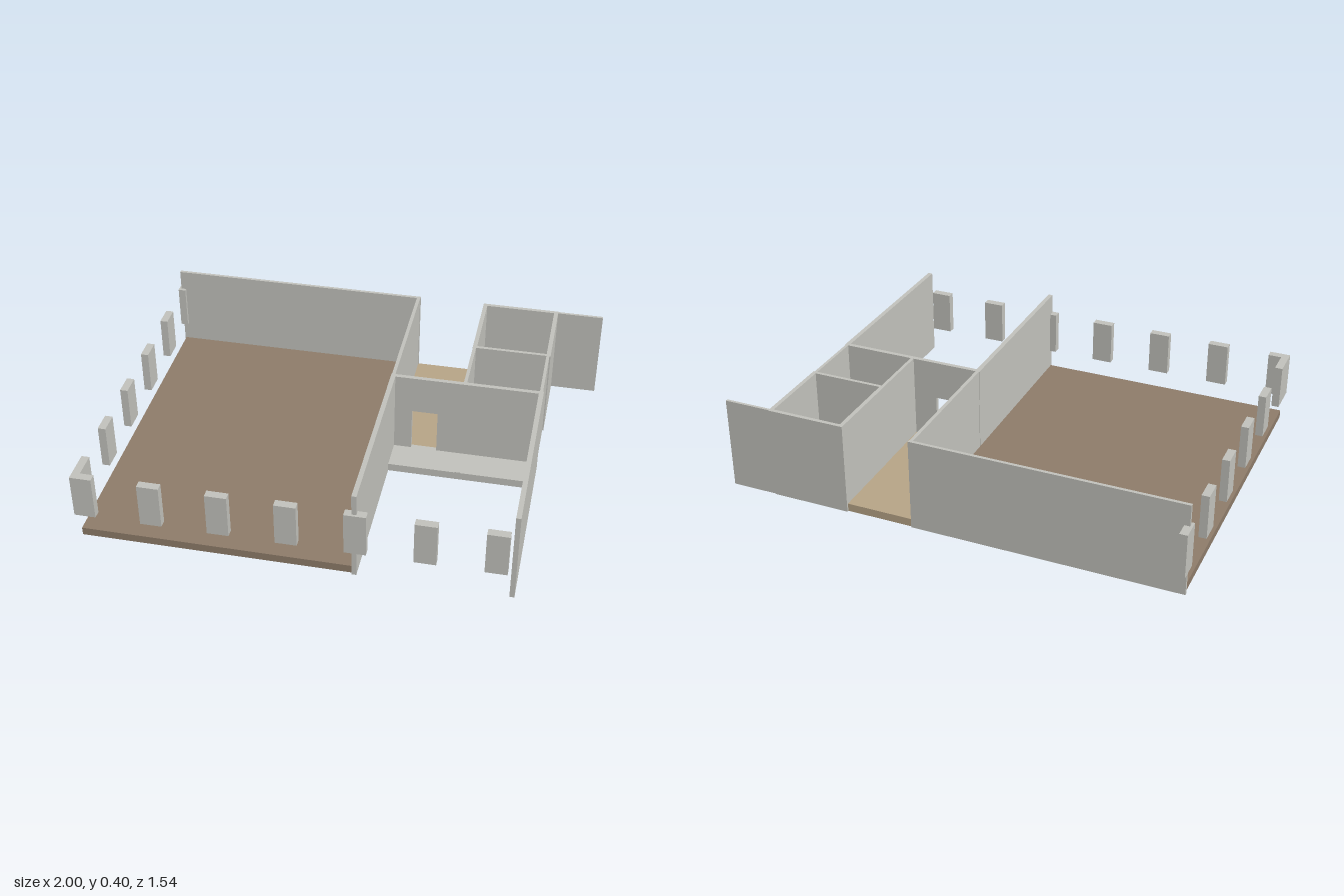
import * as THREE from 'three';

export function createModel() {
  const model = new THREE.Group();
  model.name = 'floorPlan';

  const material = (name, color) => {
    const m = new THREE.MeshStandardMaterial({ color });
    m.name = name;
    return m;
  };
  const concrete = material('concreteGrey', 0xc2c2bc);
  const brown = material('floorBrown', 0x8e7c6a);
  const tan = material('floorTan', 0xb7a587);

  // Box given by its limits on each axis
  const block = (name, mat, [x0, x1], [y0, y1], [z0, z1], parent = model) => {
    const mesh = new THREE.Mesh(new THREE.BoxGeometry(x1 - x0, y1 - y0, z1 - z0), mat);
    mesh.position.set((x0 + x1) / 2, (y0 + y1) / 2, (z0 + z1) / 2);
    mesh.name = name;
    parent.add(mesh);
  };
  const group = (name) => {
    const g = new THREE.Group();
    g.name = name;
    model.add(g);
    return g;
  };

  const H = 0.403;              // wall height
  const full = [0, H];
  const slab = [0, 0.035];

  // Floors
  block('hallFloor', brown, [-0.985, 0.146], slab, [-0.698, 0.75]);
  block('corridorFloor', tan, [0.163, 0.458], slab, [-0.706, -0.076]);
  block('roomFloor', concrete, [0.475, 0.78], slab, [-0.697, -0.36]);
  block('porchFloor', concrete, [0.165, 0.777], slab, [-0.057, 0.08]);
  block('porchStop', concrete, [0.458, 0.482], [0.033, 0.042], [0.076, 0.086]);

  // Long walls
  const walls = group('walls');
  block('backWall', concrete, [-0.99, 0.165], full, [-0.712, -0.698], walls);
  block('hallRearWall', concrete, [0.148, 0.163], full, [-0.698, -0.076], walls);
  block('hallFrontWall', concrete, [0.146, 0.166], full, [-0.076, 0.76], walls);
  block('sideFrontWall', concrete, [0.777, 0.797], full, [-0.076, 0.76], walls);
  block('wingWall', concrete, [0.797, 1], full, [-0.711, -0.699], walls);

  // Cross wall with a doorway
  const shape = new THREE.Shape();
  shape.moveTo(0.166, 0).lineTo(0.777, 0).lineTo(0.777, H).lineTo(0.166, H).closePath();
  const door = new THREE.Path();
  door.moveTo(0.242, 0.035).lineTo(0.242, 0.232).lineTo(0.354, 0.232).lineTo(0.354, 0.035).closePath();
  shape.holes.push(door);
  const crossWall = new THREE.Mesh(
    new THREE.ExtrudeGeometry(shape, { depth: 0.019, bevelEnabled: false }), concrete);
  crossWall.position.z = -0.076;
  crossWall.name = 'crossWall';
  walls.add(crossWall);

  // Open shaft between the room and the cross wall
  block('shaftLeftWall', concrete, [0.458, 0.472], full, [-0.345, -0.076], walls);
  block('shaftRightWall', concrete, [0.78, 0.793], full, [-0.345, -0.076], walls);

  // Enclosed room at the back
  const room = group('room');
  block('roomLeftWall', concrete, [0.457, 0.475], full, [-0.714, -0.345], room);
  block('roomRightWall', concrete, [0.78, 0.798], full, [-0.714, -0.345], room);
  block('roomBackWall', concrete, [0.475, 0.78], full, [-0.714, -0.697], room);
  block('roomFrontWall', concrete, [0.475, 0.78], full, [-0.36, -0.345], room);

  // Raised window piers along the front and the right-hand side
  const piers = group('piers');
  const pierY = [0.12, 0.312];
  for (let i = 0; i < 7; i++) {
    const x = -1 + i * 0.279;
    block('frontPier', concrete, [x, x + 0.09], pierY, [0.735, 0.77], piers);
  }
  for (let i = 0; i < 6; i++) {
    const z = -0.773 + i * 0.28;
    block('sidePier', concrete, [-1, -0.967], pierY, [z, i === 5 ? 0.735 : z + 0.09], piers);
  }
  return model;
}
